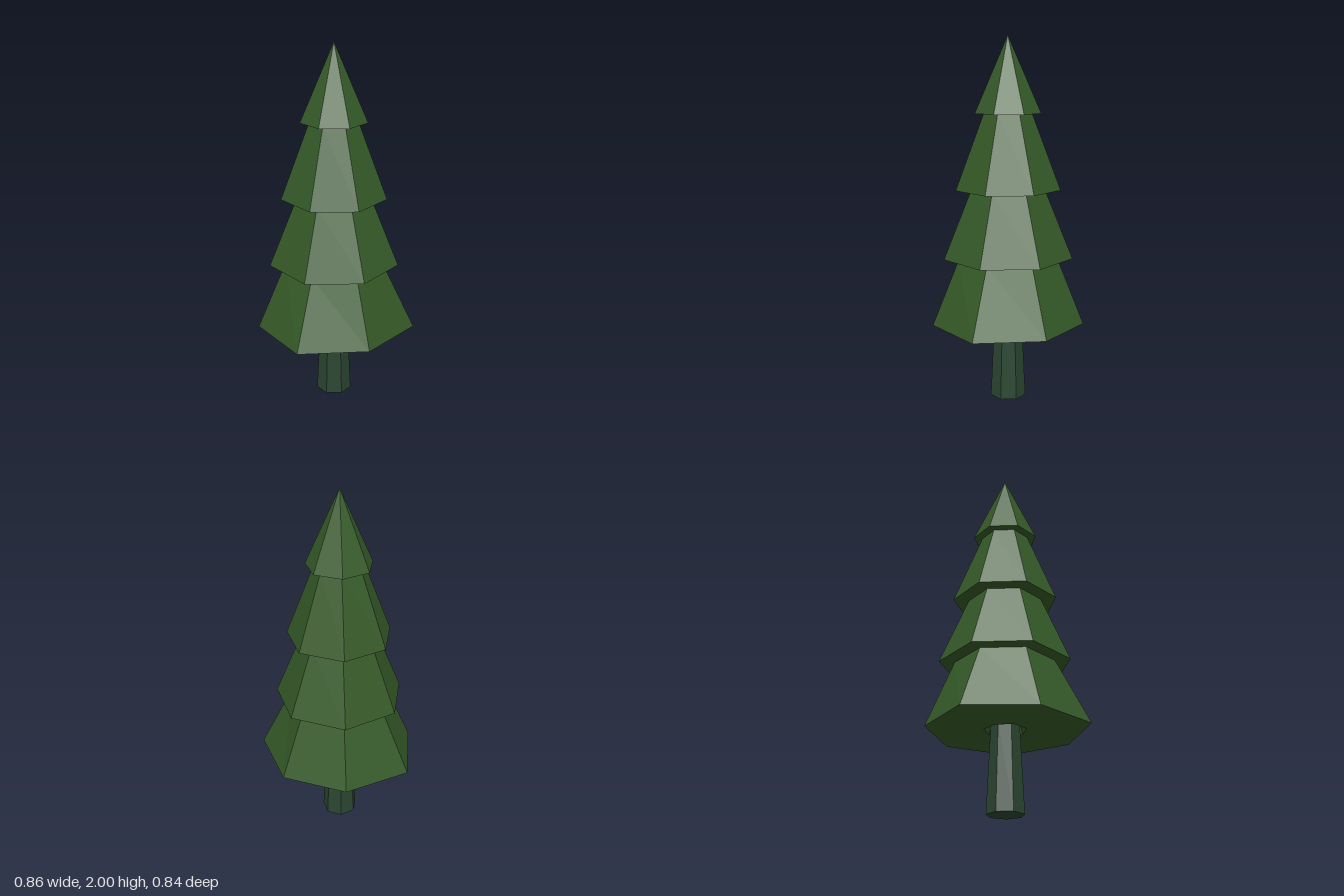
import * as THREE from 'three';

const SIDES = 7;

// Seven-sided faceted solid of revolution, with one corner pointing to the back
function facetedLathe(name, profile, material) {
  const points = profile.map(([r, y]) => new THREE.Vector2(r, y));
  const mesh = new THREE.Mesh(new THREE.LatheGeometry(points, SIDES, Math.PI, Math.PI * 2), material);
  mesh.name = name;
  return mesh;
}

export function createModel() {
  const needles = new THREE.MeshStandardMaterial({ color: 0x355a28, flatShading: true });
  const bark = new THREE.MeshStandardMaterial({ color: 0x2c4632, flatShading: true });
  const tree = new THREE.Group();
  tree.name = 'pineTree';

  // Tapered trunk, running up into the lowest tier
  tree.add(facetedLathe('trunk', [[0, 0], [0.1, 0], [0.078, 0.46], [0.074, 0.56], [0, 0.56]], bark));

  // Lowest tier: socket around the trunk, flat underside, sloping sides
  const skirt = facetedLathe('branchTier1', [[0.074, 0.56], [0.114, 0.44], [0.44, 0.44], [0.275, 0.805]], needles);
  const rimRadii = [0.43, 0.423, 0.455, 0.432, 0.455, 0.426, 0.455];
  const pos = skirt.geometry.attributes.position;
  for (let i = 0; i <= SIDES; i++) {
    // The rim is slightly uneven from corner to corner
    const v = i * 4 + 2;
    const k = rimRadii[i % SIDES] / 0.44;
    pos.setX(v, pos.getX(v) * k);
    pos.setZ(v, pos.getZ(v) * k);
  }
  skirt.geometry.computeVertexNormals();
  tree.add(skirt);

  // Upper tiers: [inner radius, rim radius, top radius, bottom y, top y]
  const tiers = [
    [0.272, 0.359, 0.205, 0.805, 1.18],
    [0.203, 0.29, 0.133, 1.18, 1.59],
    [0.131, 0.182, 0, 1.59, 2],
  ];
  tiers.forEach(([inner, rim, top, y0, y1], i) => {
    tree.add(facetedLathe(`branchTier${i + 2}`, [[inner, y0], [rim, y0], [top, y1]], needles));
  });

  // The uneven rim puts the trunk axis slightly off centre
  tree.children.forEach((part) => part.position.set(0.013, 0, 0.008));
  return tree;
}
